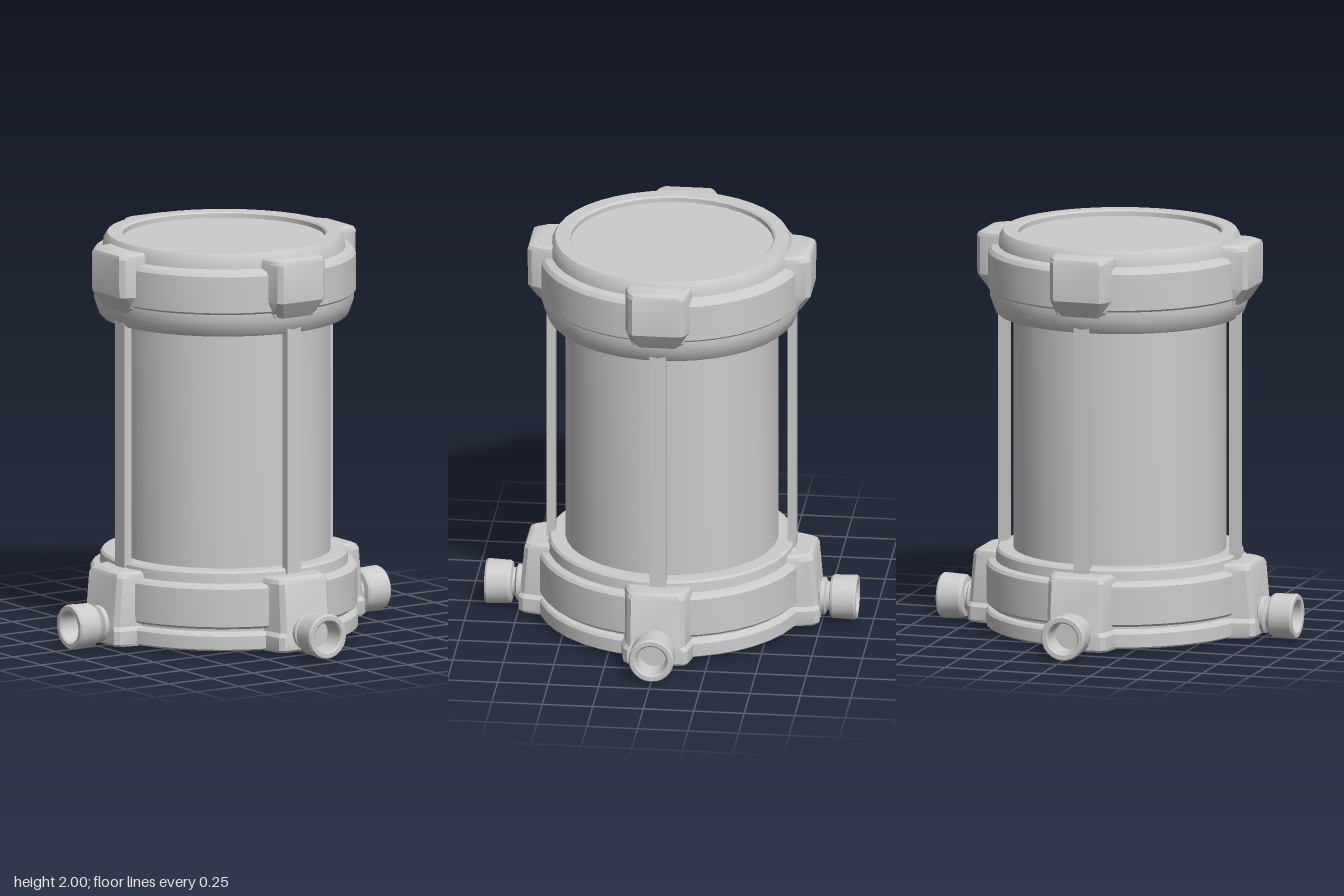
import * as THREE from 'three';
import { toCreasedNormals } from 'three/addons/utils/BufferGeometryUtils.js';

const material = new THREE.MeshStandardMaterial({ color: 0xcccccc });

function part(name, geometry, crease = 0.5) {
  const mesh = new THREE.Mesh(toCreasedNormals(geometry, crease), material);
  mesh.name = name;
  return mesh;
}

// Profile points are [radius, height], listed from the bottom upwards
function turned(name, points, segments) {
  return part(name, new THREE.LatheGeometry(points.map(([r, y]) => new THREE.Vector2(r, y)), segments));
}

// Bracket block lofted through levels of [height, half width, outer z]
function bracket(name, levels, inner) {
  const c = 0.022;
  const positions = [], index = [];
  for (const [y, w, z] of levels) {
    const ring = [[-w - 0.025, inner], [-w - 0.018, 0.63], [-w, z - c], [-w + c, z],
      [w - c, z], [w, z - c], [w + 0.018, 0.63], [w + 0.025, inner]];
    for (const [x, zz] of ring) positions.push(x, y, Math.min(zz, z));
  }
  const n = 8, last = (levels.length - 1) * n;
  for (let k = 0; k < levels.length - 1; k++) {
    for (let i = 0; i < n; i++) {
      const a = k * n + i, b = k * n + (i + 1) % n;
      index.push(a, b, b + n, a, b + n, a + n);
    }
  }
  for (let i = 1; i < n - 1; i++) index.push(0, i + 1, i, last, last + i, last + i + 1);
  const geometry = new THREE.BufferGeometry();
  geometry.setAttribute('position', new THREE.Float32BufferAttribute(positions, 3));
  geometry.setIndex(index);
  return part(name, geometry, 0.4);
}

export function createModel() {
  const model = new THREE.Group();
  model.name = 'canister';

  // Main body
  model.add(turned('cylinderBody', [[0.525, 0.36], [0.525, 1.64]], 40));

  // Base with flange, groove, band and upper rim
  model.add(turned('base', [
    [0, 0.02], [0.645, 0.02], [0.66, 0.03], [0.66, 0.095], [0.65, 0.108], [0.625, 0.115],
    [0.625, 0.13], [0.645, 0.13], [0.657, 0.142], [0.657, 0.33], [0.645, 0.345],
    [0.612, 0.352], [0.608, 0.4], [0.598, 0.412], [0.52, 0.412],
  ], 40));

  // Top cap with flared underside and recessed lid
  model.add(turned('topCap', [
    [0.5, 1.59], [0.605, 1.59], [0.615, 1.6], [0.64, 1.67], [0.64, 1.705], [0.65, 1.715],
    [0.65, 1.895], [0.635, 1.915], [0.598, 1.925], [0.592, 1.975], [0.575, 2],
    [0.51, 2], [0.5, 1.992], [0.5, 1.97], [0, 1.97],
  ], 40));

  // Four sides: brackets, rod and hollow port
  for (let i = 0; i < 4; i++) {
    const side = new THREE.Group();
    side.name = 'side' + (i + 1);
    side.rotation.y = i * Math.PI / 2;

    side.add(bracket('topBracket', [
      [1.675, 0.105, 0.645], [1.7, 0.115, 0.662], [1.76, 0.14, 0.7],
      [1.95, 0.14, 0.702], [1.968, 0.134, 0.695], [1.977, 0.12, 0.675],
    ], 0.575));

    side.add(bracket('baseBracket', [
      [0.018, 0.155, 0.735], [0.03, 0.16, 0.745], [0.095, 0.16, 0.745], [0.115, 0.145, 0.738],
      [0.355, 0.143, 0.718], [0.375, 0.135, 0.708], [0.385, 0.12, 0.69],
    ], 0.585));

    const rod = part('sideRod', new THREE.BoxGeometry(0.08, 1.26, 0.042));
    rod.position.set(0, 1, 0.597);
    side.add(rod);

    const port = turned('hosePort', [
      [0.085, 0.68], [0.085, 0.735], [0.092, 0.742], [0.092, 0.762], [0.072, 0.772], [0.072, 0.785],
      [0.1, 0.79], [0.108, 0.802], [0.112, 0.91], [0.105, 0.92], [0.084, 0.92],
      [0.076, 0.912], [0.07, 0.81], [0, 0.81],
    ], 24);
    port.rotation.x = Math.PI / 2;
    port.position.y = 0.114;
    side.add(port);

    model.add(side);
  }
  return model;
}
